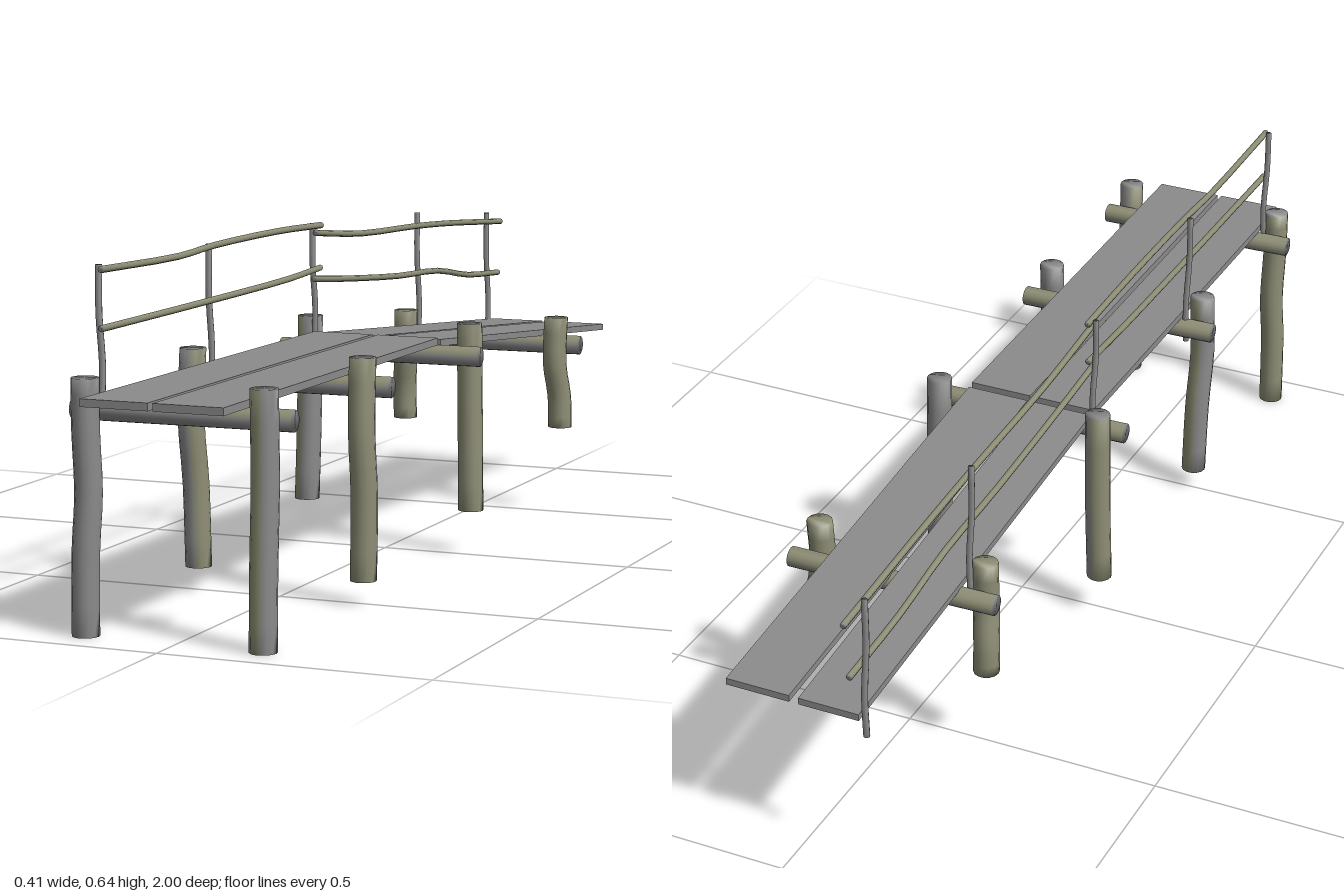
import * as THREE from 'three';

const gray = new THREE.MeshStandardMaterial({ color: 0x8d8c8d });
gray.name = 'weathered gray wood';
const olive = new THREE.MeshStandardMaterial({ color: 0x8e8e76 });
olive.name = 'mossy olive wood';

const V = (x, y, z) => new THREE.Vector3(x, y, z);

// Round, slightly crooked log along a path; the sides facing mossDir are olive.
function log(name, path, radius, mossDir, sides = 14, threshold = 0) {
  const pts = new THREE.CatmullRomCurve3(path.map(p => V(...p)))
    .getPoints(path.length > 2 ? (path.length - 1) * 3 : 1);
  const axis = pts[pts.length - 1].clone().sub(pts[0]);
  // Rings stay square to the main axis
  const main = ['x', 'y', 'z'].sort((a, b) => Math.abs(axis[b]) - Math.abs(axis[a]))[0];
  const a = V(0, 0, 0);
  a[main] = Math.sign(axis[main]);
  const u = main === 'y' ? V(1, 0, 0) : V(0, 1, 0);
  const v = a.clone().cross(u);
  const moss = mossDir ? V(...mossDir).normalize() : null;

  const radial = j => {
    const t = j / sides * Math.PI * 2;
    return u.clone().multiplyScalar(Math.cos(t)).addScaledVector(v, Math.sin(t));
  };
  const pos = [], plain = [], mossy = [];
  for (const p of pts)
    for (let j = 0; j < sides; j++) pos.push(...p.clone().addScaledVector(radial(j), radius).toArray());
  for (let i = 0; i < pts.length - 1; i++)
    for (let j = 0; j < sides; j++) {
      const k = (j + 1) % sides, b = i * sides, t = b + sides;
      const list = moss && radial(j + 0.5).dot(moss) > threshold ? mossy : plain;
      list.push(b + j, b + k, t + k, b + j, t + k, t + j);
    }
  const top = (pts.length - 1) * sides;
  const caps = threshold < -1 ? mossy : plain;
  for (let j = 1; j < sides - 1; j++) {
    caps.push(0, j + 1, j, top, top + j, top + j + 1);
  }
  const g = new THREE.BufferGeometry();
  g.setAttribute('position', new THREE.Float32BufferAttribute(pos, 3));
  g.setIndex([...plain, ...mossy]);
  g.addGroup(0, plain.length, 0);
  g.addGroup(plain.length, mossy.length, 1);
  g.computeVertexNormals();
  const m = new THREE.Mesh(g, [gray, olive]);
  m.name = name;
  return m;
}

// Flat board from a front end to a back end, each {x0, x1, y (top), z}.
function plank(name, front, back, thick) {
  const g = new THREE.BoxGeometry(1, 1, 1);
  const p = g.attributes.position;
  for (let i = 0; i < p.count; i++) {
    const e = p.getZ(i) > 0 ? front : back;
    p.setXYZ(i, p.getX(i) > 0 ? e.x1 : e.x0, e.y - (p.getY(i) > 0 ? 0 : thick), e.z);
  }
  g.computeVertexNormals();
  const m = new THREE.Mesh(g, gray);
  m.name = name;
  return m;
}

export function createModel() {
  const model = new THREE.Group();
  model.name = 'wooden footbridge';

  // Support posts: path from foot to top, and the mossy side
  const posts = [
    ['frontRightPost', [[-0.173, 0, 0.925], [-0.171, 0.15, 0.925], [-0.166, 0.25, 0.922], [-0.168, 0.36, 0.926], [-0.168, 0.45, 0.926]], [-0.3, 0, -1]],
    ['frontLeftPost', [[0.163, 0, 0.925], [0.165, 0.15, 0.925], [0.167, 0.28, 0.922], [0.168, 0.45, 0.926]], [-1, 0, 0.25]],
    ['secondRightPost', [[-0.161, 0.045, 0.505], [-0.165, 0.2, 0.505], [-0.169, 0.32, 0.515], [-0.168, 0.45, 0.507]], [1, 0, 0]],
    ['secondLeftPost', [[0.170, 0.045, 0.510], [0.172, 0.2, 0.510], [0.169, 0.32, 0.515], [0.168, 0.45, 0.507]], [0.1, 0, 1]],
    ['thirdRightPost', [[-0.174, 0.085, -0.015], [-0.17, 0.25, -0.018], [-0.168, 0.45, -0.02]], [-1, 0, -0.4]],
    ['thirdLeftPost', [[0.174, 0.085, -0.015], [0.171, 0.25, -0.018], [0.168, 0.45, -0.02]], [0.4, 0, 1]],
    ['rearRightPost', [[-0.172, 0.175, -0.524], [-0.173, 0.24, -0.524], [-0.167, 0.31, -0.513], [-0.168, 0.405, -0.518]], [-1, 0, 0], -2],
    ['rearLeftPost', [[0.176, 0.175, -0.524], [0.174, 0.24, -0.524], [0.167, 0.31, -0.513], [0.168, 0.405, -0.518]], [1, 0, 0], -2],
  ];
  for (const [name, path, moss, th] of posts) model.add(log(name, path, 0.0245, moss, 14, th));

  // Cross beams under the deck
  [[0.89, 0.391], [0.467, 0.391], [0.024, 0.391], [-0.557, 0.343]].forEach(([z, y], i) =>
    model.add(log('crossBeam' + (i + 1), [[-0.206, y, z + 0.005], [0.205, y, z - 0.005]], 0.0195, [0, 1, -0.35])));

  // Deck: level front boards, sloping rear boards
  model.add(
    plank('frontDeckRight', { x0: -0.14, x1: -0.012, y: 0.425, z: 1 }, { x0: -0.137, x1: -0.014, y: 0.425, z: 0.03 }, 0.014),
    plank('frontDeckLeft', { x0: -0.003, x1: 0.128, y: 0.425, z: 1 }, { x0: -0.003, x1: 0.122, y: 0.425, z: 0.03 }, 0.014),
    plank('rearDeckRight', { x0: -0.137, x1: -0.014, y: 0.421, z: 0.018 }, { x0: -0.135, x1: -0.018, y: 0.339, z: -0.95 }, 0.013),
    plank('rearDeckLeft', { x0: -0.003, x1: 0.123, y: 0.421, z: 0.018 }, { x0: 0, x1: 0.124, y: 0.339, z: -0.95 }, 0.013));

  // Railing posts: z, bottom, top
  [[0.905, 0.4, 0.642], [0.475, 0.36, 0.637], [0.008, 0.4, 0.634], [-0.535, 0.34, 0.61], [-0.945, 0.295, 0.575]]
    .forEach(([z, y0, y1], i) => {
      const h = y1 - y0;
      model.add(log('railingPost' + (i + 1), [
        [-0.147, y0, z], [-0.146, y0 + h * 0.3, z - 0.002], [-0.149, y0 + h * 0.65, z + 0.003], [-0.150, y1, z],
      ], 0.0062, null, 8));
    });

  // Handrails and middle rails, as [z, y] along the bridge
  const rails = {
    frontHandrail: [[0.92, 0.635], [0.62, 0.629], [0.48, 0.635], [0.2, 0.636], [-0.005, 0.63]],
    frontMiddleRail: [[0.92, 0.534], [0.5, 0.536], [0.15, 0.54], [0.0, 0.547]],
    rearHandrail: [[0.02, 0.617], [-0.2, 0.596], [-0.5, 0.585], [-0.7, 0.574], [-1, 0.552]],
    rearMiddleRail: [[0.03, 0.528], [-0.12, 0.513], [-0.4, 0.49], [-0.62, 0.479], [-0.8, 0.452], [-0.985, 0.439]],
  };
  for (const [name, pts] of Object.entries(rails))
    model.add(log(name, pts.map(([z, y]) => [-0.138, y, z]), 0.0062, [0.5, 1, 0], 8, -0.2));

  return model;
}
